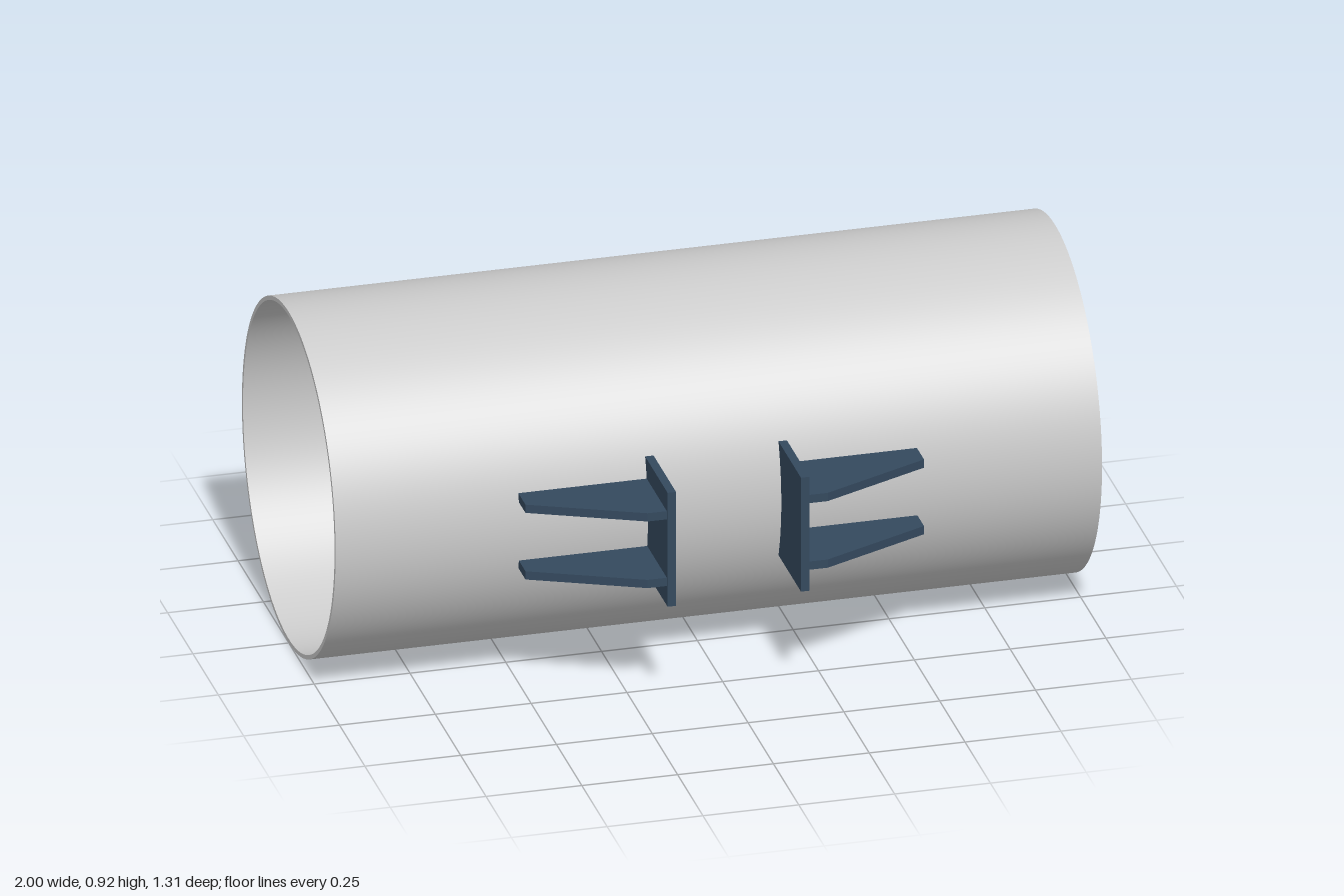
import * as THREE from 'three';
import { toCreasedNormals } from 'three/addons/utils/BufferGeometryUtils.js';

const R = 0.462, WALL = 0.011;

export function createModel() {
  const model = new THREE.Group();
  model.name = 'pipeWithBrackets';
  const grey = new THREE.MeshStandardMaterial({ color: 0xcccccc });
  const blue = new THREE.MeshStandardMaterial({ color: 0x34495e });

  // Hollow pipe along x
  const ring = new THREE.Shape().absarc(0, 0, R, 0, Math.PI * 2, false);
  ring.holes.push(new THREE.Path().absarc(0, 0, R - WALL, 0, Math.PI * 2, true));
  const pipeGeo = toCreasedNormals(
    new THREE.ExtrudeGeometry(ring, { depth: 2, bevelEnabled: false, curveSegments: 96 }), 0.5);
  pipeGeo.translate(0, 0, -1).rotateY(Math.PI / 2);
  const pipe = new THREE.Mesh(pipeGeo, grey);
  pipe.name = 'pipe';
  model.add(pipe);

  // Upright plate, inner edge cut to the pipe's curve (drawn in z, y)
  const half = 0.159, a = Math.asin(half / R);
  const plateShape = new THREE.Shape();
  plateShape.moveTo(0.656, -half);
  plateShape.lineTo(0.656, half);
  plateShape.lineTo(R * Math.cos(a), half);
  plateShape.absarc(0, 0, R, a, -a, true);
  plateShape.closePath();
  const plateGeo = new THREE.ExtrudeGeometry(plateShape,
    { depth: 0.022, bevelEnabled: false, curveSegments: 24 });
  plateGeo.rotateY(-Math.PI / 2).translate(0.185, 0, 0);

  // Tapered rib, its root set into the pipe wall (drawn in x, z)
  const ribShape = new THREE.Shape([
    [0.184, 0.446], [0.52, 0.446], [0.52, 0.52], [0.235, 0.648], [0.184, 0.648],
  ].map(([x, z]) => new THREE.Vector2(x, z)));
  const ribGeo = new THREE.ExtrudeGeometry(ribShape, { depth: 0.023, bevelEnabled: false });
  ribGeo.translate(0, 0, -0.0115).rotateX(Math.PI / 2);

  // Four brackets by half turns about each axis
  const brackets = {
    frontLeftBracket: [0, 0, 0],
    frontRightBracket: [0, 0, Math.PI],
    backLeftBracket: [Math.PI, 0, 0],
    backRightBracket: [0, Math.PI, 0],
  };
  for (const [name, turn] of Object.entries(brackets)) {
    const bracket = new THREE.Group();
    bracket.name = name;
    const plate = new THREE.Mesh(plateGeo, blue);
    plate.name = 'plate';
    bracket.add(plate);
    for (const side of [-1, 1]) {
      const rib = new THREE.Mesh(ribGeo, blue);
      rib.name = side > 0 ? 'upperRib' : 'lowerRib';
      rib.position.y = side * 0.093;
      bracket.add(rib);
    }
    bracket.rotation.set(...turn);
    model.add(bracket);
  }

  // Rest the pipe on the ground plane
  for (const part of model.children) part.position.y = R;
  return model;
}
